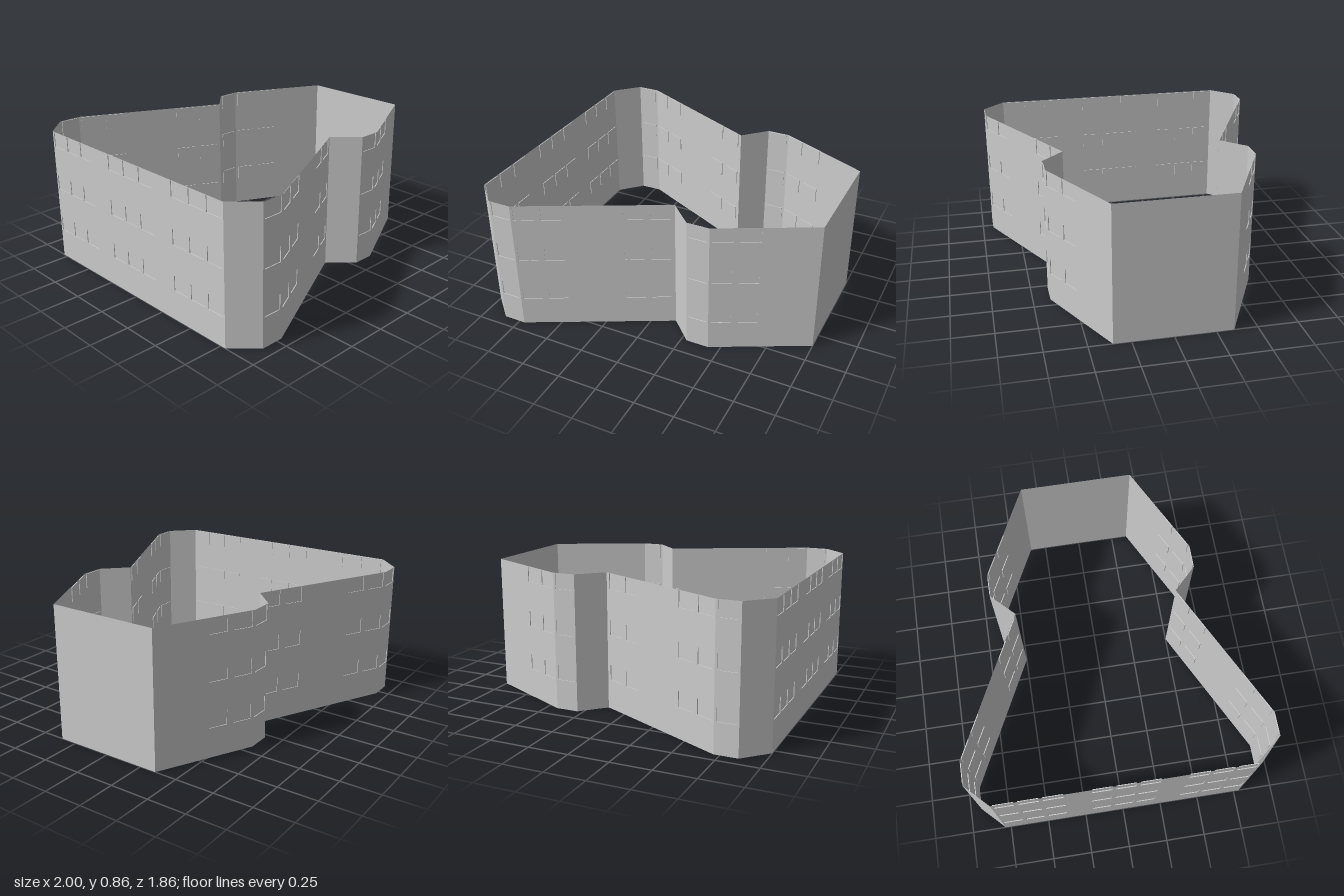
import * as THREE from 'three';
import { mergeGeometries } from 'three/addons/utils/BufferGeometryUtils.js';

const U = 1 / 7;            // plan module
const HEIGHT = 6 * U;
const WIN_W = 0.118, WIN_H = 0.094, DEPTH = 0.005;
const SILLS = [0.188, 0.474, 0.759];

const material = new THREE.MeshStandardMaterial({
  color: 0xcccccc, flatShading: true, side: THREE.DoubleSide,
});

// Shallow window niche: a box without its outer face
function niche(x, y) {
  const box = new THREE.BoxGeometry(WIN_W, WIN_H, DEPTH);
  const index = Array.from(box.index.array);
  index.splice(24, 6);
  box.setIndex(index);
  box.clearGroups();
  return box.translate(x + WIN_W / 2, y + WIN_H / 2, -DEPTH / 2);
}

// Wall panel from a to b (plan points), seen left to right from outside
function wall(name, a, b, starts) {
  const dx = b[0] - a[0], dz = b[1] - a[1], length = Math.hypot(dx, dz);
  const shape = new THREE.Shape([[0, 0], [length, 0], [length, HEIGHT], [0, HEIGHT]]
    .map(p => new THREE.Vector2(...p)));
  const niches = [];
  for (const x of starts) for (const y of SILLS) {
    shape.holes.push(new THREE.Path([[x, y], [x, y + WIN_H], [x + WIN_W, y + WIN_H], [x + WIN_W, y]]
      .map(p => new THREE.Vector2(...p))));
    niches.push(niche(x, y));
  }
  const group = new THREE.Group();
  group.name = name;
  const panel = new THREE.Mesh(new THREE.ShapeGeometry(shape), material);
  panel.name = 'wallPanel';
  group.add(panel);
  if (niches.length) {
    const windows = new THREE.Mesh(mergeGeometries(niches), material);
    windows.name = 'windowNiches';
    group.add(windows);
  }
  group.position.set(a[0], 0, a[1]);
  group.rotation.y = Math.atan2(-dz, dx);
  return group;
}

export function createModel() {
  const model = new THREE.Group();
  model.name = 'buildingShell';

  // Front half of the plan in modules, with the windowed cells of each wall
  const plan = [[-7, 5.5], [-6, 6.5], [-5, 6.5], [1, 3.5], [2, 4.5], [3, 4.5], [7, 2.5]]
    .map(([x, z]) => [x * U, z * U]);
  const walls = [
    { name: 'CornerWall', cells: 1, used: [] },
    { name: 'FlatWall', cells: 1, used: [0] },
    { name: 'LongSlopedWall', cells: 6, used: [0, 1, 4, 5] },
    { name: 'StepWall', cells: 1, used: [] },
    { name: 'StepFlatWall', cells: 1, used: [0] },
    { name: 'ShortSlopedWall', cells: 4, used: [0, 1] },
  ];

  // Front walls and their mirror at the back
  walls.forEach(({ name, cells, used }, i) => {
    const a = plan[i], b = plan[i + 1];
    const length = Math.hypot(b[0] - a[0], b[1] - a[1]);
    const offset = cells > 1 ? 0.016 : (length - WIN_W) / 2;
    const starts = used.map(c => c * length / cells + offset);
    model.add(wall('front' + name, a, b, starts));
    model.add(wall('back' + name, [b[0], -b[1]], [a[0], -a[1]],
      starts.map(s => length - s - WIN_W)));
  });

  // Blank left end, and right end with three groups of windows
  model.add(wall('leftEndWall', [1, 2.5 * U], [1, -2.5 * U], []));
  model.add(wall('rightEndWall', [-1, -5.5 * U], [-1, 5.5 * U],
    [0, 1, 2, 4, 5, 6, 8, 9, 10].map(c => c * U + (U - WIN_W) / 2)));

  return model;
}
